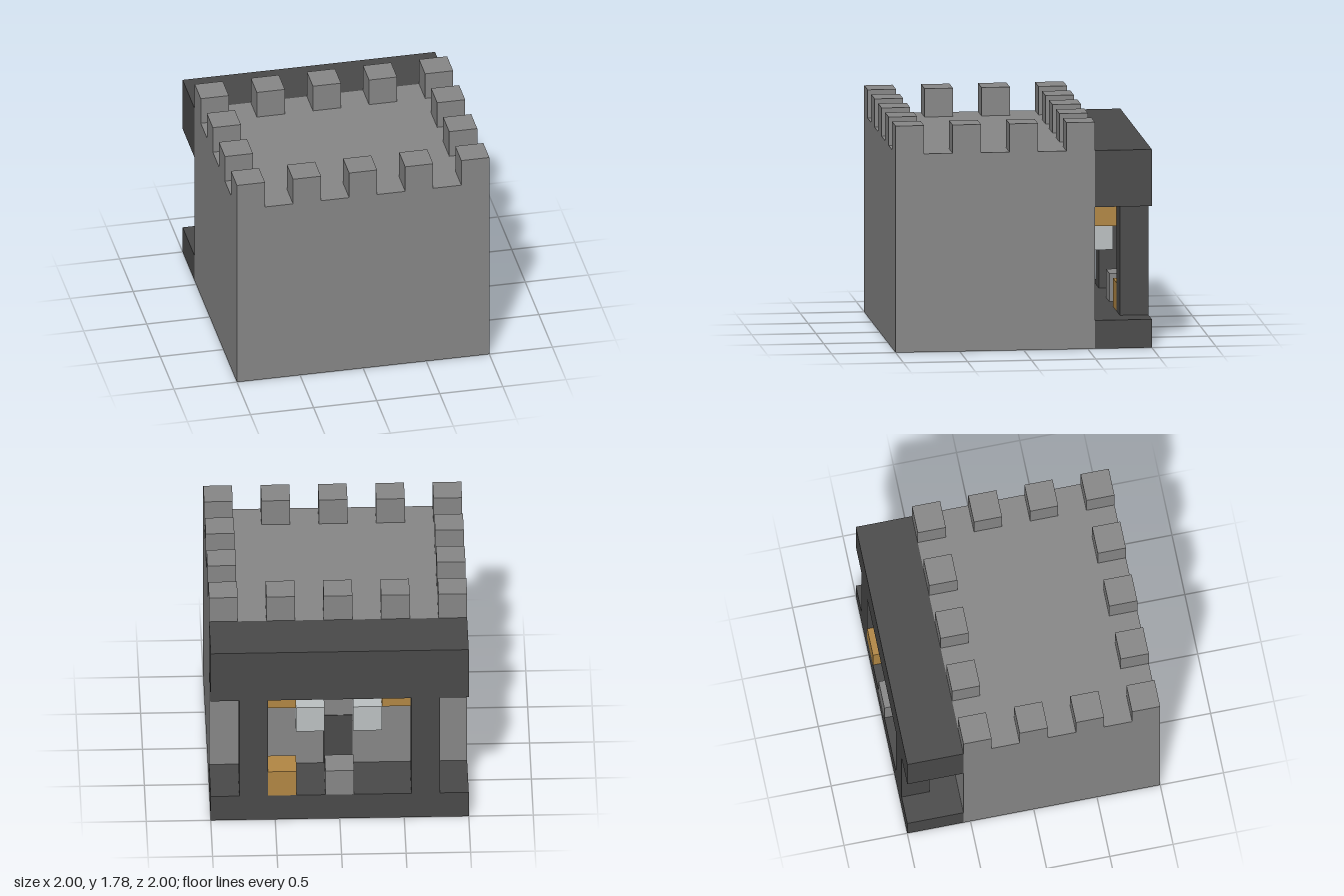
import * as THREE from 'three';

const U = 2 / 9; // one block

function material(name, color) {
  const m = new THREE.MeshStandardMaterial({ color });
  m.name = name;
  return m;
}

export function createModel() {
  const model = new THREE.Group();
  model.name = 'keep';
  const stone = material('stone grey', 0x888888);
  const dark = material('dark stone', 0x4a4a4a);
  const gold = material('gold', 0xb38844);
  const silver = material('pale silver', 0xbdc2c3);

  // Box given in blocks: i counts from the left (+x) side, j from the ground, k from the back
  function block(name, mat, i0, i1, j0, j1, k0, k1) {
    const geo = new THREE.BoxGeometry((i1 - i0) * U, (j1 - j0) * U, (k1 - k0) * U);
    const mesh = new THREE.Mesh(geo, mat);
    mesh.position.set(1 - (i0 + i1) / 2 * U, (j0 + j1) / 2 * U, -1 + (k0 + k1) / 2 * U);
    mesh.name = name;
    model.add(mesh);
  }
  const cube = (name, mat, i, j, k) => block(name, mat, i, i + 1, j, j + 1, k, k + 1);

  // Main keep, standing on a footing ring around a dark floor
  block('keepBody', stone, 0, 9, 1, 7, 2, 9);
  block('footingBack', stone, 0, 9, 0, 1, 2, 3);
  block('footingFront', stone, 0, 9, 0, 1, 8, 9);
  block('footingLeft', stone, 0, 1, 0, 1, 3, 8);
  block('footingRight', stone, 8, 9, 0, 1, 3, 8);
  block('floor', dark, 1, 8, 0, 1, 3, 8);

  // Battlements around the roof edge
  for (let i = 0; i < 9; i += 2) {
    for (let k = 2; k < 9; k += 2) {
      if (i === 0 || i === 8 || k === 2 || k === 8) cube('merlon', stone, i, 7, k);
    }
  }

  // Porch at the back: step, canopy, two pillars
  block('porchStep', dark, 0, 9, 0, 1, 0, 2);
  block('porchCanopy', dark, 0, 9, 5, 7, 0, 2);
  for (const i of [1, 7]) block('porchPillar', dark, i, i + 1, 1, 5, 0, 1);

  // Door panel in the wall behind the porch
  block('door', dark, 4, 5, 1, 3, 1.975, 2);

  // Loose blocks inside the porch
  cube('goldStepBlock', gold, 2, 1, 0);
  cube('stoneStepBlock', stone, 4, 1, 0);
  for (const i of [2, 6]) cube('goldWallBlock', gold, i, 4, 1);
  for (const i of [3, 5]) cube('silverWallBlock', silver, i, 3, 1);

  return model;
}
